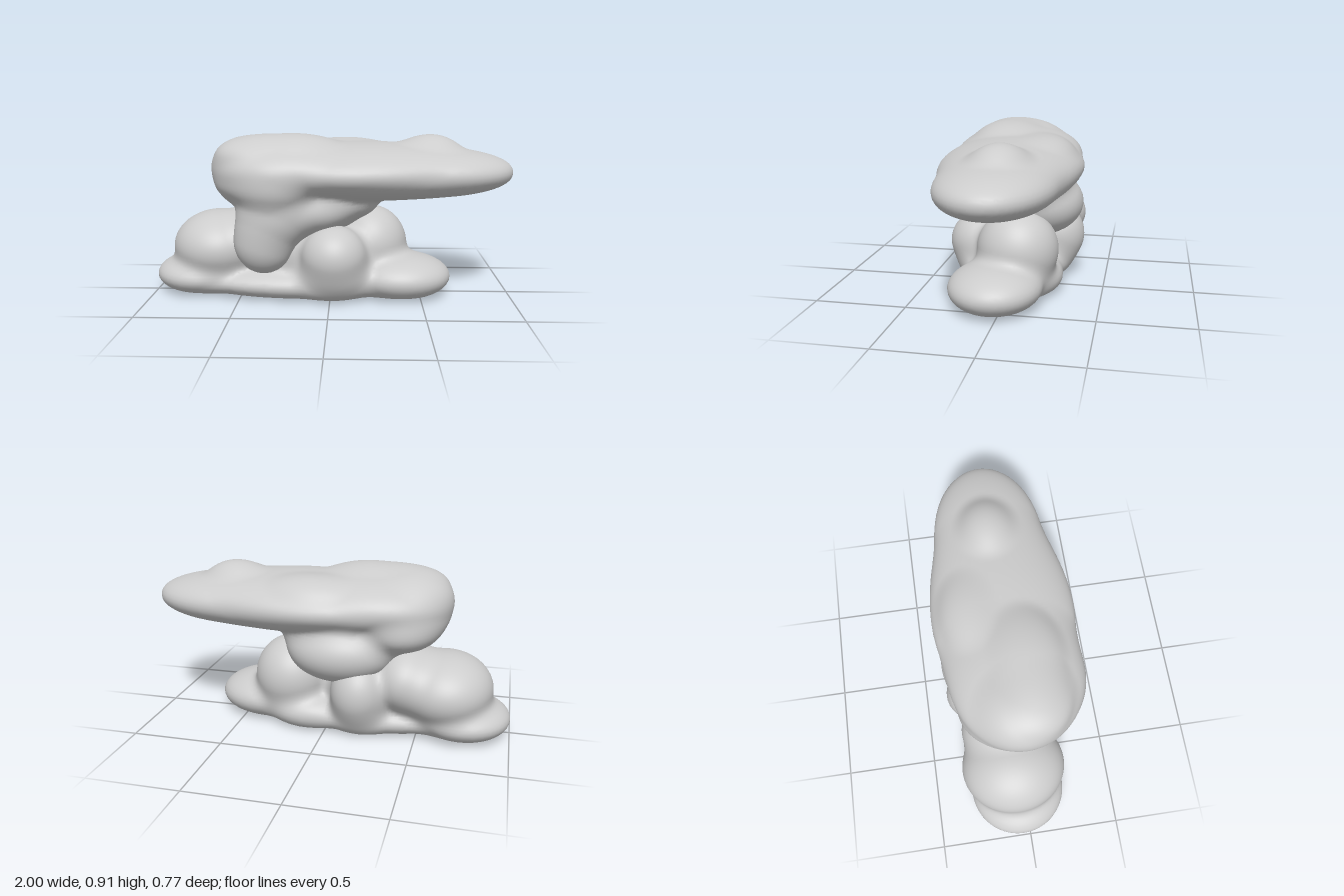
import * as THREE from 'three';

// Each puff is an ellipsoid: centre x, y, z then radii x, y, z.
const lowerPuffs = [
  [-0.74, 0.10, -0.04, 0.26, 0.115, 0.26], // left end of the base
  [0.385, 0.11, 0.04, 0.285, 0.13, 0.25],  // right end of the base
  [-0.18, 0.08, 0.0, 0.62, 0.11, 0.27],    // middle of the base
  [0.02, 0.13, 0.13, 0.22, 0.14, 0.19],    // foot under the front ball
  [-0.20, 0.13, -0.15, 0.16, 0.14, 0.15],  // foot under the back ball
  [0.12, 0.09, -0.12, 0.20, 0.10, 0.16],   // low bump at the back
  [-0.64, 0.26, -0.05, 0.26, 0.20, 0.285], // left dome
  [-0.43, 0.31, -0.06, 0.19, 0.19, 0.25],
  [0.22, 0.27, -0.05, 0.21, 0.22, 0.22],   // right dome
  [0.02, 0.25, 0.19, 0.18, 0.17, 0.18],    // front ball
  [-0.19, 0.25, -0.21, 0.15, 0.18, 0.16],  // back ball
  [-0.20, 0.25, 0.0, 0.28, 0.20, 0.20],    // core
];
const upperPuffs = [
  [0.62, 0.69, -0.01, 0.375, 0.11, 0.28],  // blunt tip
  [0.32, 0.69, -0.01, 0.66, 0.14, 0.32],   // long flat slab
  [0.10, 0.70, 0.0, 0.60, 0.15, 0.385],    // wide middle
  [-0.26, 0.71, 0.02, 0.39, 0.16, 0.355],  // thick left end
  [-0.44, 0.75, 0.01, 0.20, 0.13, 0.20],
  [-0.20, 0.81, 0.08, 0.23, 0.09, 0.16],   // crown bumps
  [-0.42, 0.79, 0.11, 0.18, 0.08, 0.15],
  [0.08, 0.77, -0.18, 0.20, 0.085, 0.13],
  [0.55, 0.79, -0.02, 0.16, 0.105, 0.13],
  [-0.37, 0.63, 0.02, 0.265, 0.13, 0.30],  // underside
  [-0.38, 0.58, -0.05, 0.21, 0.12, 0.25],
  [-0.29, 0.62, 0.19, 0.20, 0.14, 0.18],
  [-0.08, 0.465, -0.12, 0.30, 0.18, 0.25], // neck
  [0.0, 0.52, -0.02, 0.26, 0.11, 0.25],
  [-0.14, 0.49, 0.10, 0.24, 0.13, 0.20],
  [-0.36, 0.33, 0.17, 0.165, 0.18, 0.15],  // drooping front lobe
  [-0.30, 0.46, 0.16, 0.20, 0.16, 0.17],
];

function ellipsoidDistance(p, [cx, cy, cz, rx, ry, rz]) {
  const x = (p[0] - cx) / rx, y = (p[1] - cy) / ry, z = (p[2] - cz) / rz;
  const k0 = Math.hypot(x, y, z), k1 = Math.hypot(x / rx, y / ry, z / rz);
  return k1 < 1e-6 ? -Math.min(rx, ry, rz) : k0 * (k0 - 1) / k1;
}

function smoothMin(a, b, k) {
  const h = Math.max(k - Math.abs(a - b), 0) / k;
  return Math.min(a, b) - h * h * k / 4;
}

// Blended distance to all puffs, cut flat at the floor with a soft rim.
function cloudDistance(p, puffs, blend) {
  let d = 1e3;
  for (const puff of puffs) d = smoothMin(d, ellipsoidDistance(p, puff), blend);
  return -smoothMin(-d, p[1], 0.03);
}

// Outward direction of the blended surface at a point.
function cloudNormal(p, puffs, blend) {
  const slope = [0, 1, 2].map((a) => {
    const ahead = [...p], behind = [...p];
    ahead[a] += 0.006;
    behind[a] -= 0.006;
    return cloudDistance(ahead, puffs, blend) - cloudDistance(behind, puffs, blend);
  });
  return new THREE.Vector3(...slope).normalize().toArray();
}

// Skin the blended puffs: one vertex per grid cell on the surface, one quad per crossed edge.
function cloudGeometry(puffs, blend, step = 0.02) {
  const lo = [-1.1, -0.06, -0.48], n = [110, 53, 48];
  const stride = [1, n[0], n[0] * n[1]];
  const values = new Float32Array(n[0] * n[1] * n[2]);
  const at = (i, j, k) => i + j * stride[1] + k * stride[2];
  for (let k = 0; k < n[2]; k++) for (let j = 0; j < n[1]; j++) for (let i = 0; i < n[0]; i++) {
    values[at(i, j, k)] = cloudDistance([lo[0] + i * step, lo[1] + j * step, lo[2] + k * step], puffs, blend);
  }
  const positions = [], normals = [], index = [], cell = new Int32Array(values.length).fill(-1);
  for (let k = 0; k < n[2] - 1; k++) for (let j = 0; j < n[1] - 1; j++) for (let i = 0; i < n[0] - 1; i++) {
    const sum = [0, 0, 0];
    let hits = 0;
    for (let c = 0; c < 8; c++) for (let a = 0; a < 3; a++) {
      if (c & (1 << a)) continue;
      const o = [c & 1, (c >> 1) & 1, c >> 2];
      const q = at(i + o[0], j + o[1], k + o[2]);
      const v0 = values[q], v1 = values[q + stride[a]];
      if ((v0 < 0) === (v1 < 0)) continue;
      o[a] += v0 / (v0 - v1);
      for (let m = 0; m < 3; m++) sum[m] += o[m];
      hits++;
    }
    if (!hits) continue;
    cell[at(i, j, k)] = positions.length / 3;
    const point = [i, j, k].map((g, m) => lo[m] + (g + sum[m] / hits) * step);
    positions.push(...point);
    normals.push(...cloudNormal(point, puffs, blend));
  }
  for (let k = 1; k < n[2] - 1; k++) for (let j = 1; j < n[1] - 1; j++) for (let i = 1; i < n[0] - 1; i++) {
    const q = at(i, j, k);
    for (let a = 0; a < 3; a++) {
      const inside = values[q] < 0;
      if (inside === (values[q + stride[a]] < 0)) continue;
      const b = stride[(a + 1) % 3], c = stride[(a + 2) % 3];
      const quad = [cell[q], cell[q - b], cell[q - b - c], cell[q - c]];
      if (!inside) quad.reverse();
      index.push(quad[0], quad[1], quad[2], quad[0], quad[2], quad[3]);
    }
  }
  const geometry = new THREE.BufferGeometry();
  geometry.setAttribute('position', new THREE.Float32BufferAttribute(positions, 3));
  geometry.setAttribute('normal', new THREE.Float32BufferAttribute(normals, 3));
  geometry.setIndex(index);
  return geometry;
}

export function createModel() {
  const group = new THREE.Group();
  group.name = 'cloud';
  const cloudGrey = new THREE.MeshStandardMaterial({ color: 0xcccccc });
  cloudGrey.name = 'cloud grey';
  const parts = [['lowerCloud', lowerPuffs, 0.06], ['upperCloud', upperPuffs, 0.07]];
  for (const [name, puffs, blend] of parts) {
    const mesh = new THREE.Mesh(cloudGeometry(puffs, blend), cloudGrey);
    mesh.name = name;
    group.add(mesh);
  }
  return group;
}
